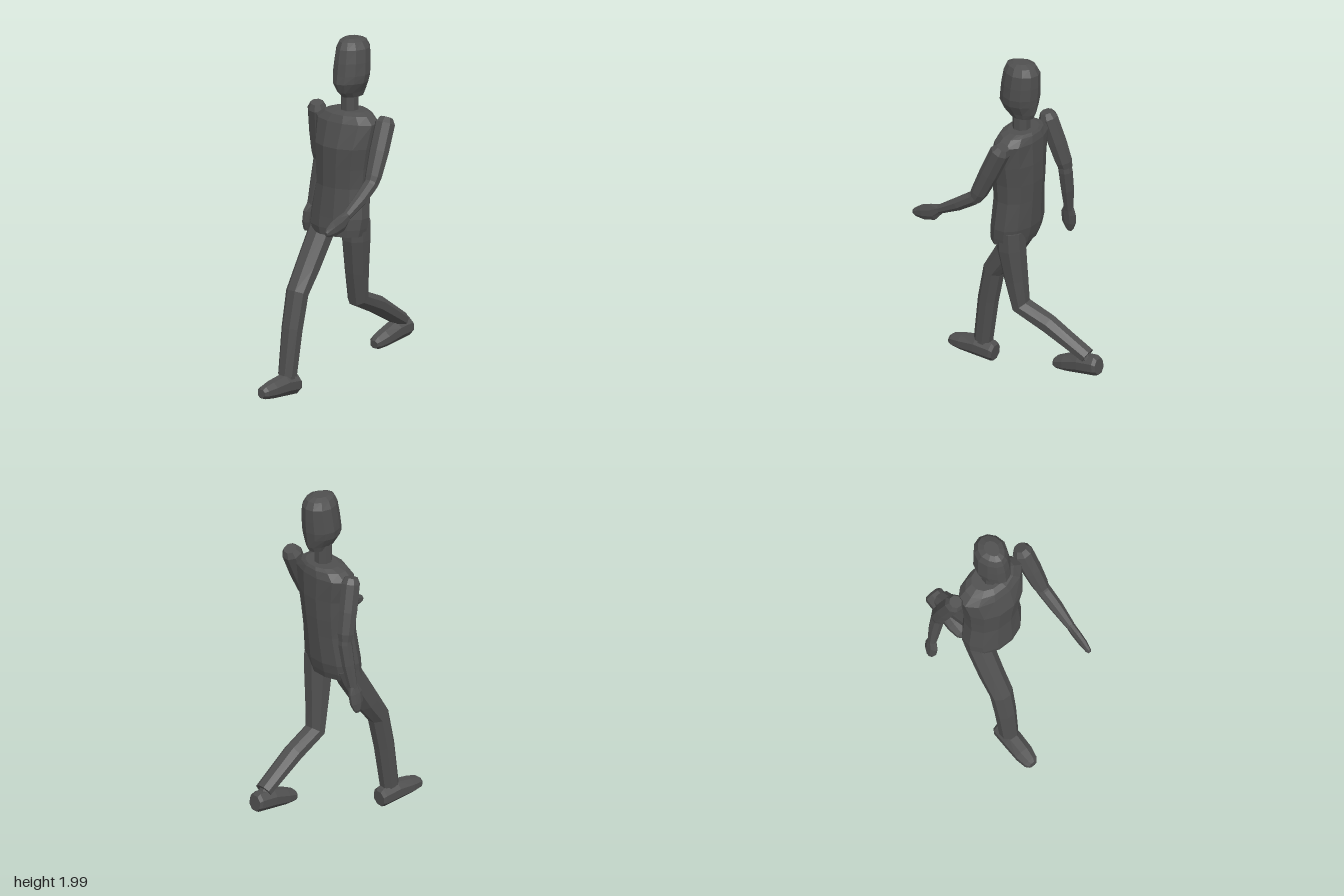
import * as THREE from 'three';

const dark = new THREE.MeshStandardMaterial({ color: 0x4f4f4f, flatShading: true });
dark.name = 'charcoal';

// Closed loft through rings [x, y, z, halfWidth, halfDepth]; rings follow the path
// unless a fixed axis is given. pinch narrows the half that points along +v.
function loft(name, rings, { sides = 8, axis = null, phase = 0.5, pinch = 0 } = {}) {
  const centres = rings.map(r => new THREE.Vector3(r[0], r[1], r[2]));
  const grow = phase ? 1 / Math.cos(Math.PI / sides) : 1;
  const pos = [], idx = [], last = rings.length - 1;
  rings.forEach(([, , , a, b = a], i) => {
    const t = new THREE.Vector3();
    if (axis) t.set(...axis);
    else {
      if (i > 0) t.add(centres[i].clone().sub(centres[i - 1]).normalize());
      if (i < last) t.add(centres[i + 1].clone().sub(centres[i]).normalize());
      t.normalize();
    }
    const u = new THREE.Vector3(1, 0, 0).addScaledVector(t, -t.x).normalize();
    const v = t.clone().cross(u);
    for (let j = 0; j < sides; j++) {
      const ang = (j + phase) / sides * Math.PI * 2;
      const c = Math.cos(ang), s = Math.sin(ang);
      const p = centres[i].clone()
        .addScaledVector(u, c * a * grow * (1 - pinch * Math.max(s, 0)))
        .addScaledVector(v, s * b * grow);
      pos.push(p.x, p.y, p.z);
    }
  });
  for (let i = 0; i < last; i++) for (let j = 0; j < sides; j++) {
    const k = (j + 1) % sides, p = i * sides, q = p + sides;
    idx.push(p + j, p + k, q + k, p + j, q + k, q + j);
  }
  for (let j = 1; j < sides - 1; j++) {
    const e = last * sides;
    idx.push(0, j + 1, j, e, e + j, e + j + 1);
  }
  const geo = new THREE.BufferGeometry();
  geo.setAttribute('position', new THREE.Float32BufferAttribute(pos, 3));
  geo.setIndex(idx);
  geo.computeVertexNormals();
  const mesh = new THREE.Mesh(geo, dark);
  mesh.name = name;
  return mesh;
}

// Tapered shoe, heel at the back, placed by its sole centre and pitched
function foot(name, x, y, z, pitch) {
  const mesh = loft(name, [
    [0, 0.05, -0.146, 0.042, 0.043],
    [0, 0.056, -0.13, 0.052, 0.054],
    [0, 0.058, -0.03, 0.054, 0.056],
    [0, 0.046, 0.07, 0.052, 0.045],
    [0, 0.038, 0.13, 0.04, 0.034],
    [0, 0.034, 0.148, 0.025, 0.022],
  ], { axis: [0, 0, 1] });
  mesh.position.set(x, y, z);
  mesh.rotation.x = pitch;
  return mesh;
}

export function createModel() {
  const model = new THREE.Group();
  model.name = 'walkingFigure';
  const down = [0, -1, 0];

  // Head, neck and torso
  model.add(
    loft('head', [
      [0.052, 2.0, -0.03, 0.04, 0.05],
      [0.052, 1.985, -0.033, 0.07, 0.088],
      [0.052, 1.945, -0.035, 0.092, 0.108],
      [0.052, 1.87, -0.028, 0.099, 0.115],
      [0.05, 1.8, -0.022, 0.103, 0.117],
      [0.05, 1.755, -0.016, 0.094, 0.117],
      [0.052, 1.7, -0.025, 0.062, 0.1],
      [0.052, 1.67, -0.035, 0.05, 0.075],
    ], { sides: 12, axis: down, phase: 0, pinch: 0.2 }),
    loft('neck', [[0.038, 1.7, -0.025, 0.047], [0.038, 1.56, -0.025, 0.047]]),
    loft('torso', [
      [0.035, 1.59, -0.035, 0.105, 0.075],
      [0.032, 1.575, -0.025, 0.15, 0.095],
      [0.03, 1.535, -0.018, 0.2, 0.11],
      [0.03, 1.4, 0.002, 0.182, 0.132],
      [0.022, 1.28, 0.002, 0.168, 0.127],
      [0.018, 1.17, 0.005, 0.163, 0.12],
      [0.01, 1.0, 0.02, 0.182, 0.12],
      [0.008, 0.94, 0.03, 0.177, 0.116],
      [0.012, 0.9, 0.035, 0.165, 0.108],
    ], { sides: 12, axis: down }),
  );

  // Left arm swings forward
  model.add(
    loft('leftUpperArm', [
      [0.275, 1.575, -0.06, 0.034],
      [0.277, 1.545, -0.045, 0.053],
      [0.288, 1.4, 0.02, 0.052],
      [0.298, 1.27, 0.08, 0.044],
      [0.3, 1.225, 0.105, 0.036],
    ]),
    loft('leftForearm', [
      [0.298, 1.27, 0.07, 0.035],
      [0.302, 1.225, 0.115, 0.038],
      [0.31, 1.165, 0.21, 0.035],
      [0.315, 1.1, 0.33, 0.024],
    ]),
    loft('leftHand', [
      [0.315, 1.103, 0.325, 0.022, 0.026],
      [0.317, 1.07, 0.375, 0.022, 0.045],
      [0.317, 1.052, 0.44, 0.02, 0.041],
      [0.316, 1.038, 0.49, 0.014, 0.023],
      [0.316, 1.035, 0.503, 0.008, 0.012],
    ]),
  );

  // Right arm hangs back
  model.add(
    loft('rightUpperArm', [
      [-0.202, 1.583, -0.03, 0.034],
      [-0.207, 1.55, -0.038, 0.05],
      [-0.232, 1.4, -0.08, 0.05],
      [-0.25, 1.28, -0.112, 0.045],
      [-0.256, 1.24, -0.12, 0.036],
    ]),
    loft('rightForearm', [
      [-0.248, 1.29, -0.112, 0.035],
      [-0.255, 1.22, -0.121, 0.037],
      [-0.278, 1.1, -0.118, 0.034],
      [-0.306, 0.96, -0.108, 0.024],
    ]),
    loft('rightHand', [
      [-0.306, 0.975, -0.108, 0.021, 0.026],
      [-0.315, 0.93, -0.1, 0.022, 0.042],
      [-0.324, 0.87, -0.098, 0.02, 0.04],
      [-0.33, 0.83, -0.097, 0.014, 0.024],
      [-0.331, 0.815, -0.096, 0.008, 0.014],
    ]),
  );

  // Right leg steps forward
  model.add(
    loft('rightLeg', [
      [-0.1, 0.98, 0.01, 0.07],
      [-0.1, 0.89, 0.05, 0.07],
      [-0.105, 0.7, 0.165, 0.066],
      [-0.105, 0.575, 0.25, 0.062, 0.056],
      [-0.108, 0.38, 0.29, 0.057, 0.054],
      [-0.112, 0.12, 0.325, 0.05],
    ]),
    loft('rightAnkle', [[-0.112, 0.16, 0.32, 0.038], [-0.112, 0.06, 0.325, 0.038]]),
    foot('rightFoot', -0.115, 0.013, 0.398, -0.07),
  );

  // Left leg trails with a bent knee
  model.add(
    loft('leftLeg', [
      [0.108, 0.98, 0.0, 0.075],
      [0.104, 0.87, -0.003, 0.076],
      [0.09, 0.68, -0.025, 0.065, 0.062],
      [0.078, 0.515, -0.05, 0.057, 0.053],
      [0.062, 0.44, -0.22, 0.054, 0.05],
      [0.038, 0.3, -0.46, 0.049, 0.038],
    ]),
    loft('leftAnkle', [[0.042, 0.32, -0.43, 0.034], [0.034, 0.25, -0.47, 0.034]]),
    foot('leftFoot', 0.03, 0.182, -0.392, 0.12),
  );
  return model;
}
